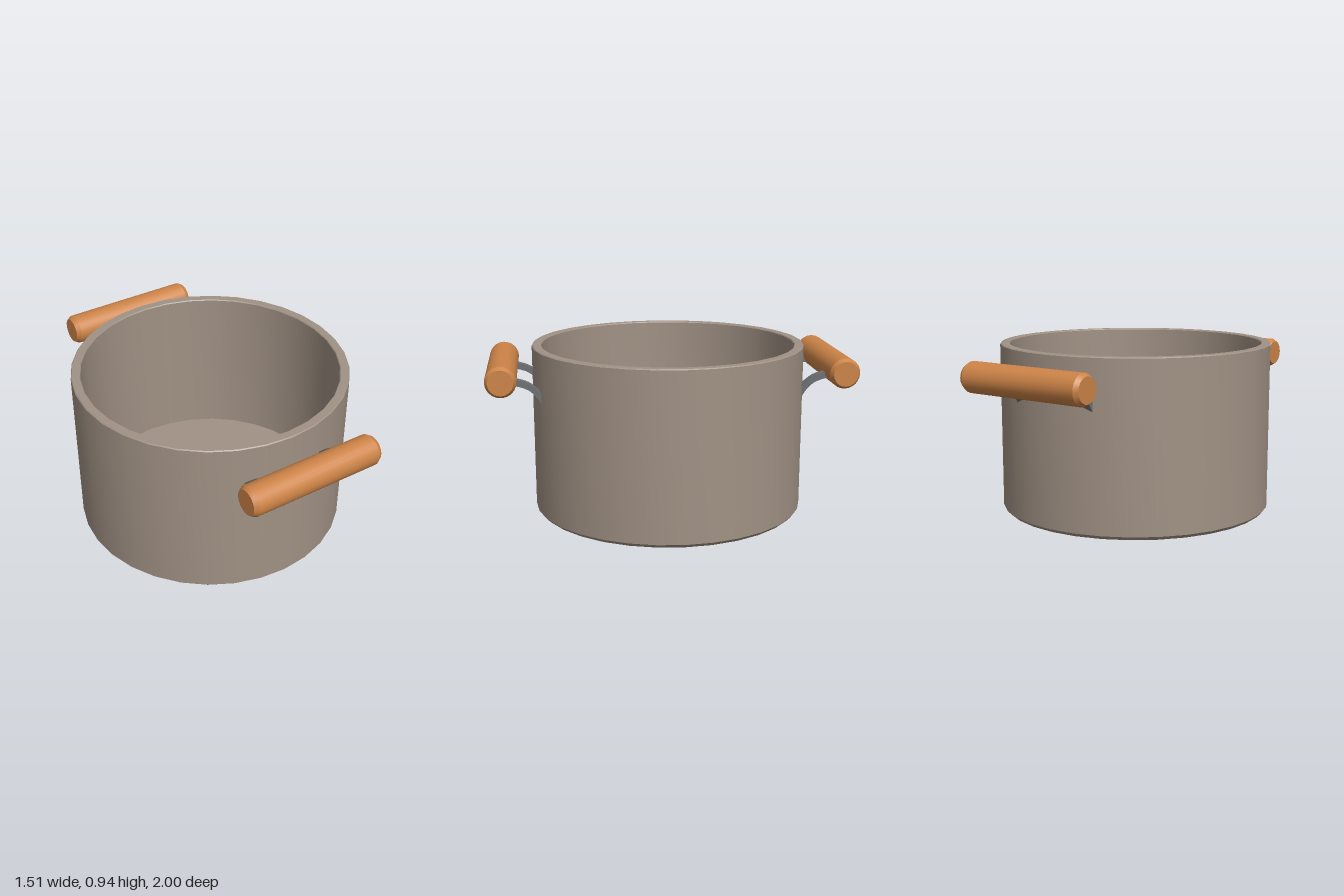
import * as THREE from 'three';
import { toCreasedNormals } from 'three/addons/utils/BufferGeometryUtils.js';

const steel = new THREE.MeshStandardMaterial({ color: 0xa09184 });
const iron = new THREE.MeshStandardMaterial({ color: 0x6c7073 });
const wood = new THREE.MeshStandardMaterial({ color: 0xcc8347 });

// Revolves [radius, y] points, listed from the bottom centre outwards and up
function lathe(points, segments) {
  const profile = points.map(([r, y]) => new THREE.Vector2(r, y));
  return toCreasedNormals(new THREE.LatheGeometry(profile, segments), 0.5);
}

function addMesh(parent, name, geometry, material) {
  const mesh = new THREE.Mesh(geometry, material);
  mesh.name = name;
  parent.add(mesh);
  return mesh;
}

// Curved strap: a band of tapering thickness swept in the z-y plane, extruded across x
function strapGeometry(width) {
  const upper = [[0.92, 0.805], [0.845, 0.795], [0.78, 0.775], [0.74, 0.747], [0.712, 0.722], [0.69, 0.69]];
  const lower = [[0.69, 0.63], [0.712, 0.663], [0.74, 0.703], [0.78, 0.738], [0.845, 0.76], [0.92, 0.768]];
  const toVec = ([z, y]) => new THREE.Vector2(z, y);
  const outline = [
    ...new THREE.SplineCurve(upper.map(toVec)).getPoints(12),
    ...new THREE.SplineCurve(lower.map(toVec)).getPoints(12),
  ];
  const geometry = new THREE.ExtrudeGeometry(new THREE.Shape(outline), { depth: width, bevelEnabled: false });
  geometry.translate(0, 0, -width / 2);
  geometry.rotateY(-Math.PI / 2);
  return toCreasedNormals(geometry, 0.6);
}

function createHandle() {
  const handle = new THREE.Group();

  // Round wooden grip with chamfered ends
  const grip = addMesh(handle, 'grip', lathe([
    [0, -0.387], [0.068, -0.387], [0.083, -0.363], [0.083, 0.363], [0.068, 0.387], [0, 0.387],
  ], 24), wood);
  grip.rotation.z = Math.PI / 2;
  grip.position.set(0, 0.807, 0.917);

  // Two straps joining the grip to the wall
  const strap = strapGeometry(0.048);
  for (const side of [-1, 1]) {
    const mesh = addMesh(handle, side > 0 ? 'leftStrap' : 'rightStrap', strap, iron);
    mesh.position.x = side * 0.227;
  }
  return handle;
}

export function createModel() {
  const pot = new THREE.Group();
  pot.name = 'cookingPot';

  // Hollow body: underside, wall, rim, inner wall and floor
  addMesh(pot, 'body', lathe([
    [0, 0], [0.735, 0], [0.754, 0.02], [0.754, 0.93], [0.749, 0.935],
    [0.706, 0.935], [0.702, 0.93], [0.702, 0.05], [0, 0.05],
  ], 32), steel);

  // Matching handles at the front and back
  const front = createHandle();
  front.name = 'frontHandle';
  const back = createHandle();
  back.name = 'backHandle';
  back.rotation.y = Math.PI;
  pot.add(front, back);

  return pot;
}
